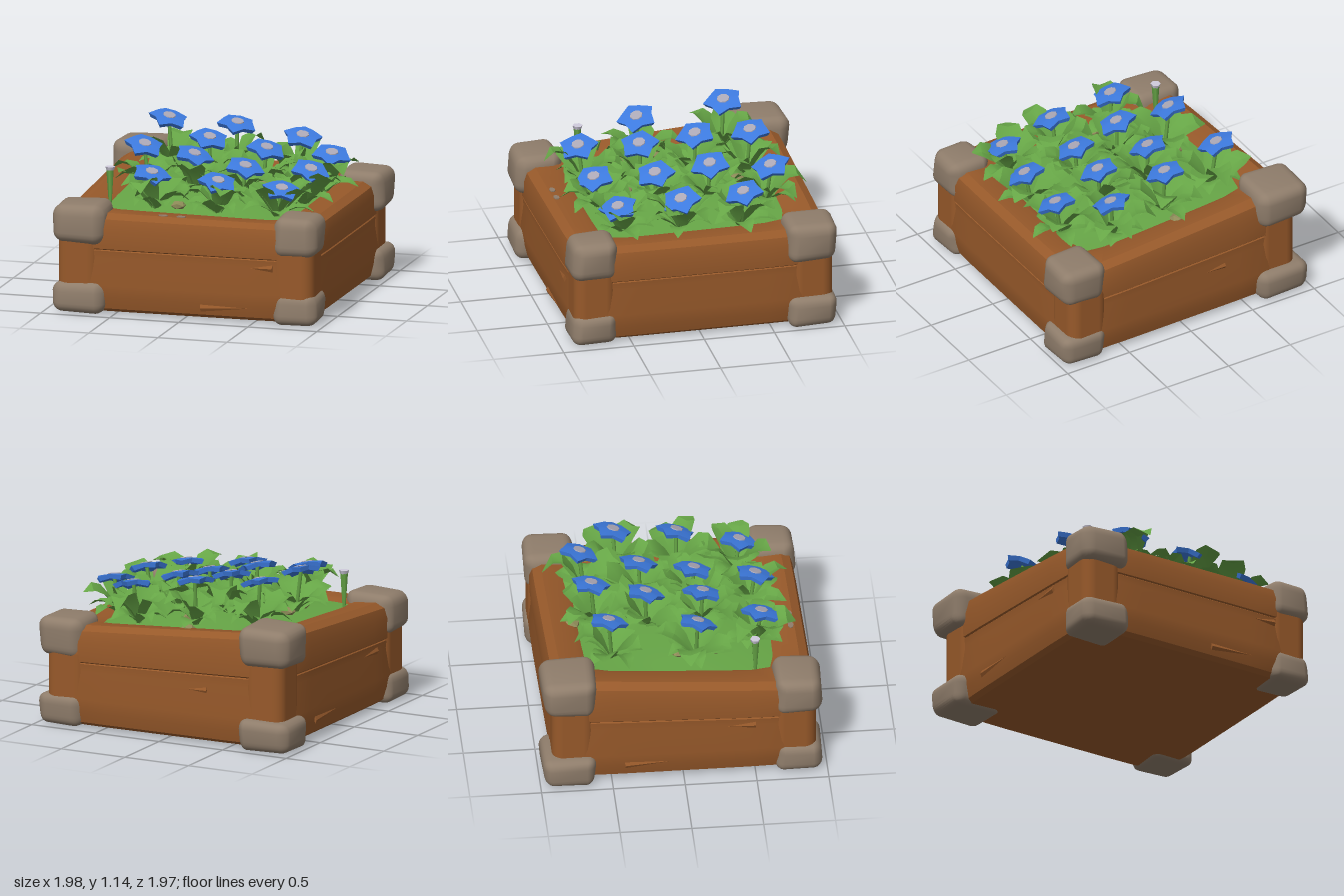
import * as THREE from 'three';
import { mergeGeometries, mergeVertices, toCreasedNormals } from 'three/addons/utils/BufferGeometryUtils.js';
import { RoundedBoxGeometry } from 'three/addons/geometries/RoundedBoxGeometry.js';

const mat = (name, color, side = THREE.FrontSide) => {
  const m = new THREE.MeshStandardMaterial({ color, side });
  m.name = name;
  return m;
};

// Small seeded generator for natural variation
function seeded(seed) {
  return () => {
    seed = (seed * 16807) % 2147483647;
    return seed / 2147483647;
  };
}

// The planter is warped upwards towards its back left-hand corner
const lift = (x, z) => 0.145 * Math.min(1.1, Math.max(0, (0.95 - x) / 1.9)) * Math.max(0, (0.95 - z) / 1.9);
const soilY = (x, z) => 0.668 + lift(x, z) * 0.92 + 0.05 * Math.max(0, 1 - (x / 0.7) ** 2) * Math.max(0, 1 - (z / 0.7) ** 2);
// The frame is slightly out of square
const skew = (x) => -0.008 - 0.015 * x;

// Move every vertex by a rule, then shade smoothly with sharp creases
function warp(geo, rule, crease = 0.6) {
  geo.deleteAttribute('uv');
  geo.deleteAttribute('normal');
  const p = geo.attributes.position, v = new THREE.Vector3();
  for (let i = 0; i < p.count; i++) {
    v.fromBufferAttribute(p, i);
    rule(v);
    p.setXYZ(i, v.x, v.y, v.z);
  }
  return toCreasedNormals(mergeVertices(geo), crease);
}

function gridGeometry(points, rows, cols) {
  const index = [];
  for (let r = 0; r < rows - 1; r++) for (let c = 0; c < cols - 1; c++) {
    const a = r * cols + c, b = a + 1, d = a + cols, e = d + 1;
    index.push(a, b, e, a, e, d);
  }
  const g = new THREE.BufferGeometry();
  g.setAttribute('position', new THREE.Float32BufferAttribute(points, 3));
  g.setIndex(index);
  return g;
}

// Plank profile (outward distance, height) swept round the four sides, with eased corners
function frameGeometry() {
  const profile = [[0, 0.015], [0.86, 0.015], [0.895, 0.04], [0.915, 0.12], [0.925, 0.21], [0.908, 0.4], [0.912, 0.45],
    [0.905, 0.456], [0.915, 0.464], [0.92, 0.6], [0.9, 0.67], [0.84, 0.7], [0.7, 0.69], [0.645, 0.665], [0.64, 0.5]];
  const corners = [[-1, 1], [1, 1], [1, -1], [-1, -1], [-1, 1]];
  const steps = 8, pts = [];
  for (const [d, y] of profile) {
    for (let s = 0; s < 4; s++) for (let k = 0; k < steps + (s === 3 ? 1 : 0); k++) {
      const t = k / steps, a = corners[s], b = corners[s + 1];
      const ux = a[0] + (b[0] - a[0]) * t, uz = a[1] + (b[1] - a[1]) * t;
      const r = d * (1 - 0.05 * Math.abs(ux * uz) ** 8), x = r * ux, z = r * uz;
      pts.push(x + 0.01, y + lift(x, z) * (y / 0.7) ** 2, z + skew(x));
    }
  }
  return toCreasedNormals(gridGeometry(pts, profile.length, steps * 4 + 1), 0.5);
}

// Folded leaf growing along +z that rises and then arches over
function leafGeometry(length, width, rise, arch) {
  const half = [0.25, 0.75, 1, 0.8, 0.05], pts = [];
  half.forEach((h, i) => {
    const t = i / 4, y = rise * Math.sin(t * arch), z = length * t, w = h * width;
    pts.push(w, y + w * 0.3, z, 0, y, z, -w, y + w * 0.3, z);
  });
  return toCreasedNormals(gridGeometry(pts, 5, 3), 0.6);
}

export function createModel() {
  const model = new THREE.Group();
  model.name = 'flowerPlanter';
  const wood = mat('brown wood', 0x97592a);
  const stone = mat('grey stone', 0x8f7d6b);
  const green = mat('leaf green', 0x66a546, THREE.DoubleSide);
  const blue = mat('petal blue', 0x3d7ade);
  const heart = mat('flower centre grey', 0xaca8b6);
  const pebbleTan = mat('pebble tan', 0x8d8a58);
  const pale = mat('bud white', 0xcfcbdc);
  const add = (geo, material, name, parent = model) => {
    const m = new THREE.Mesh(geo, material);
    m.name = name;
    parent.add(m);
    return m;
  };

  add(frameGeometry(), wood, 'plankFrame');

  // Corner posts with stone caps above and below: cap centre x, z and size x, z
  const corners = [
    [-0.75, 0.8, 0.39, 0.35],
    [0.8, 0.755, 0.34, 0.34],
    [0.82, -0.785, 0.35, 0.37],
    [-0.785, -0.795, 0.41, 0.39],
  ];
  corners.forEach(([x, z, w, d], n) => {
    const sx = Math.sign(x), sz = Math.sign(z), up = lift(x, z);
    // Lumpy stone with its four upright edges chamfered
    const lumpy = (cy) => (v) => {
      const k = 1 + 0.03 * Math.sin(v.x * 17 + n * 2) + 0.03 * Math.sin(v.y * 19 + v.z * 14 + n);
      const c = k * (1 - 0.13 * Math.abs(v.x * v.z * 4 / (w * d)) ** 2);
      v.set(x + v.x * c, Math.max(0, cy + v.y * k), z + v.z * c);
    };
    const post = new RoundedBoxGeometry(0.3, 0.5 + up, 0.3, 3, 0.08);
    post.translate(sx * 0.77 + 0.01, 0.34 + up / 2, sz * 0.77 + skew(sx * 0.9));
    add(post, wood, 'cornerPost');
    const top = new RoundedBoxGeometry(w, 0.28, d, 3, 0.08);
    add(warp(top, lumpy(0.62 + up)), stone, 'upperCornerCap');
    const foot = new RoundedBoxGeometry(w, 0.22, d, 3, 0.07);
    add(warp(foot, lumpy(0.112)), stone, 'lowerCornerCap');
  });

  // Split wood slivers on each side: side turn, along, height, length
  const slivers = [[0, 0.3, 0.1, 0.34], [0, 0.57, 0.4, 0.16], [1, 0.3, 0.14, 0.36],
    [1, 0.1, 0.49, 0.3], [2, -0.3, 0.12, 0.3], [2, 0.2, 0.38, 0.26], [3, -0.25, 0.14, 0.32], [3, 0.4, 0.42, 0.2]];
  slivers.forEach(([side, along, y, length], i) => {
    const g = new THREE.ConeGeometry(0.025, length, 4).rotateZ(i % 2 ? 1.6 : -1.52);
    g.scale(1, 1, 0.5).translate(along, y, 0.912).rotateY(side * Math.PI / 2);
    add(g.toNonIndexed(), wood, 'woodSliver').geometry.computeVertexNormals();
  });

  // Gently domed ground cover running in under the rim
  const ground = new THREE.PlaneGeometry(1.42, 1.42, 12, 12).rotateX(-Math.PI / 2);
  add(warp(ground, (v) => { v.y = soilY(v.x, v.z); }), green, 'groundCover');

  // Pebbles in the greenery and two small studs on the front rim
  for (const [x, z] of [[0.04, -0.46], [-0.48, 0], [-0.45, 0.26], [-0.14, 0.54], [0.05, 0.34], [0.28, -0.1], [-0.07, -0.7]]) {
    const p = add(new THREE.IcosahedronGeometry(0.055, 0), pebbleTan, 'pebble');
    p.position.set(x, soilY(x, z) + 0.02, z);
    p.scale.y = 0.6;
  }
  for (const x of [-0.17, -0.04]) {
    const stud = add(new THREE.CylinderGeometry(0.035, 0.035, 0.008, 7), stone, 'rimStud');
    stud.position.set(x, 0.706, 0.81);
    stud.scale.z = 0.6;
  }

  // Five-pointed blossom: domed top, drooping tips, shallow underside
  const blossom = warp(new THREE.CylinderGeometry(0.145, 0.125, 0.03, 10), (v) => {
    const r = Math.hypot(v.x, v.z);
    if (r < 0.1) {
      v.y += v.y > 0 ? 0.008 : 0.005;
      return;
    }
    const odd = Math.abs(Math.round(Math.atan2(v.x, v.z) / (Math.PI / 5))) % 2;
    v.set(v.x * (odd ? 0.74 : 1), v.y - (odd ? 0.004 : 0.02), v.z * (odd ? 0.74 : 1));
  }, 0.35);
  const centre = new THREE.CylinderGeometry(0.044, 0.046, 0.006, 8).translate(0, 0.021, 0);

  // Flowers with stems and leaf clumps: x, height, z
  const flowers = [[-0.52, 1.1, -0.49], [-0.05, 1.07, -0.57], [0.41, 1.0, -0.61], [0.7, 0.95, -0.35],
    [-0.14, 1.04, -0.2], [0.27, 0.99, -0.21], [-0.51, 1.04, 0.13], [-0.13, 1.01, 0.2], [0.23, 0.94, 0.17],
    [0.68, 0.93, 0.09], [-0.32, 0.95, 0.59], [0.16, 0.92, 0.59], [0.6, 0.88, 0.52]];
  const rand = seeded(4217);
  for (const [x, y, z] of flowers) {
    const plant = new THREE.Group();
    plant.name = 'flowerPlant';
    model.add(plant);
    const head = new THREE.Group();
    head.name = 'flowerHead';
    head.position.set(x, y, z);
    head.rotation.set(0.18 + rand() * 0.12, 0, -0.18 - rand() * 0.12);
    plant.add(head);
    add(blossom, blue, 'petals', head).rotation.y = rand() * 6;
    add(centre, heart, 'flowerCentre', head);

    const rx = x * 0.93, rz = z * 0.95, base = soilY(rx, rz) - 0.01;
    const stem = new THREE.TubeGeometry(new THREE.LineCurve3(
      new THREE.Vector3(rx, base, rz), new THREE.Vector3(x, y - 0.01, z)), 1, 0.014, 5);
    add(stem, green, 'stem', plant);

    // Five broad outer leaves round five lower ones
    const leaves = [], turn = rand() * 6;
    for (let i = 0; i < 10; i++) {
      const outer = i < 5;
      const g = outer ? leafGeometry(0.24 + rand() * 0.07, 0.08 + rand() * 0.02, 0.16 + rand() * 0.08, 1.7 + rand() * 0.9)
        : leafGeometry(0.19 + rand() * 0.08, 0.065, 0.07 + rand() * 0.04, 2.5);
      g.rotateZ((rand() - 0.5) * 0.6);
      g.rotateY(turn + i * 1.257 + (outer ? 0 : 0.63) + (rand() - 0.5) * 0.5);
      leaves.push(g.translate(rx, base, rz));
    }
    add(mergeGeometries(leaves), green, 'leafClump', plant);
  }

  // Closed bud near the side wall
  add(new THREE.CylinderGeometry(0.028, 0.01, 0.26, 5).translate(-0.64, 0.81, 0.52), green, 'budStem');
  add(new THREE.CylinderGeometry(0.036, 0.028, 0.025, 6).translate(-0.64, 0.95, 0.52), pale, 'bud');
  return model;
}
